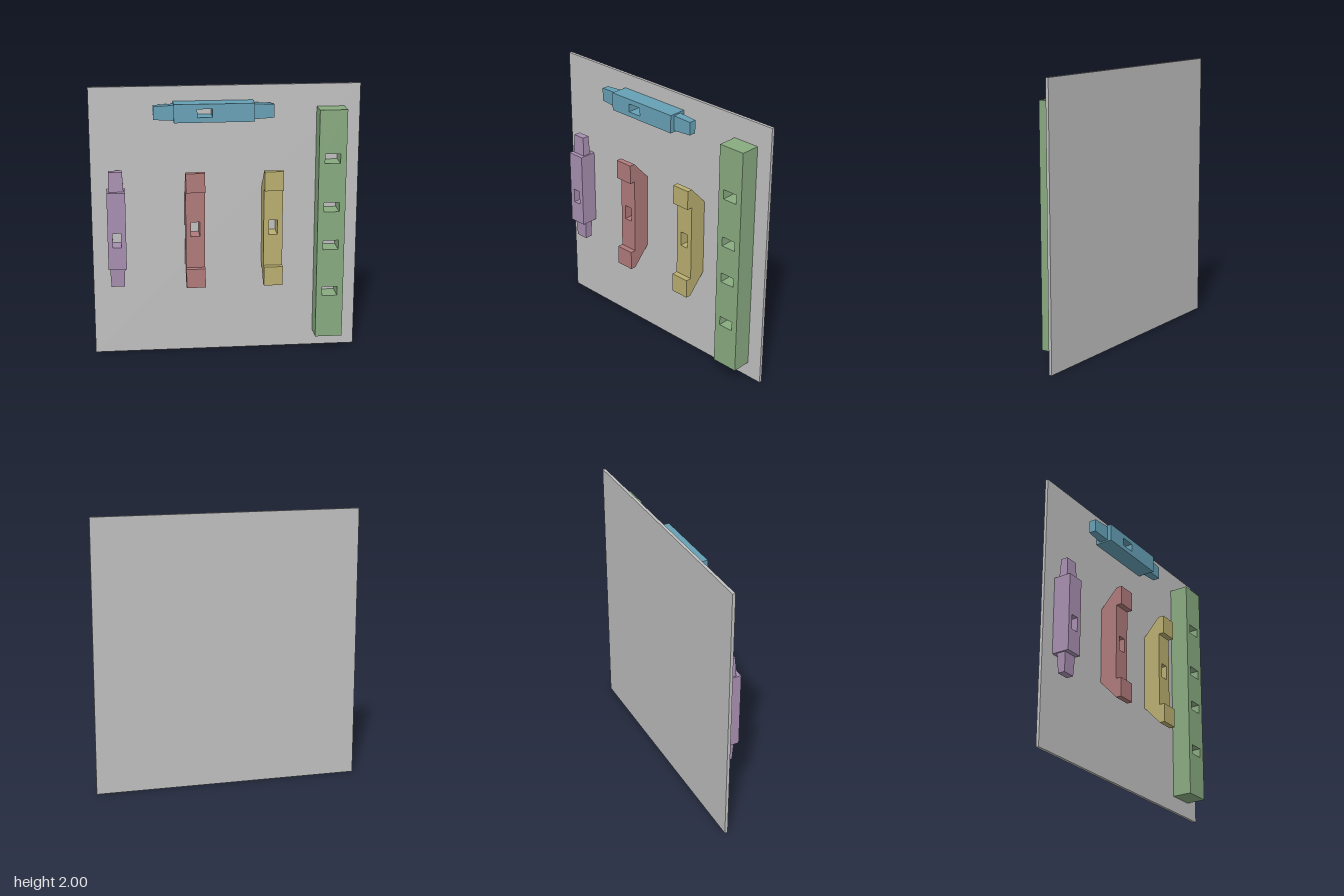
import * as THREE from 'three';

const BACK = -0.075; // front face of the panel, which all blocks rest on

const paint = (name, color) => {
  const m = new THREE.MeshStandardMaterial({ color });
  m.name = name;
  return m;
};

function add(parent, name, geometry, material) {
  const mesh = new THREE.Mesh(geometry, material);
  mesh.name = name;
  parent.add(mesh);
  return mesh;
}

// Upright block centred on x and y, with rectangular holes [x, y, w, h] through to the panel
function drilledBlock(w, h, depth, holes) {
  const rect = (T, x, y, rw, rh) => new T([
    new THREE.Vector2(x - rw / 2, y - rh / 2), new THREE.Vector2(x + rw / 2, y - rh / 2),
    new THREE.Vector2(x + rw / 2, y + rh / 2), new THREE.Vector2(x - rw / 2, y + rh / 2),
  ]);
  const shape = rect(THREE.Shape, 0, 0, w, h);
  shape.holes = holes.map((q) => rect(THREE.Path, ...q));
  return new THREE.ExtrudeGeometry(shape, { depth, bevelEnabled: false }).translate(0, 0, BACK);
}

// Box narrowing towards its +y end
function tenonGeometry() {
  const g = new THREE.BoxGeometry(0.11, 0.143, 0.066);
  const p = g.attributes.position;
  for (let i = 0; i < p.count; i++) {
    if (p.getY(i) > 0) p.setXYZ(i, p.getX(i) * 0.87, p.getY(i), p.getZ(i) * 0.8);
  }
  g.computeVertexNormals();
  return g;
}

// Rail with a tapered tenon at each end
function tenonRail(name, material) {
  const rail = new THREE.Group();
  rail.name = name;
  add(rail, 'railBody', drilledBlock(0.132, 0.572, 0.13, [[0, -0.067, 0.06, 0.108]]), material);
  for (const s of [1, -1]) {
    const tenon = add(rail, s > 0 ? 'upperTenon' : 'lowerTenon', tenonGeometry(), material);
    tenon.position.set(0, s * 0.3575, -0.01);
    if (s < 0) tenon.rotation.z = Math.PI;
  }
  return rail;
}

// Bracket whose ends step forward and slope back to the panel
function bracket(name, material) {
  const group = new THREE.Group();
  group.name = name;
  const w = 0.138;
  add(group, 'bracketBody', drilledBlock(w, 0.572, 0.13, [[0, 0.003, 0.063, 0.108]]), material);
  // side profile as (-z, y), turned to run along x
  const profile = new THREE.Shape([
    [-0.097, 0.286], [0.075, 0.286], [-0.055, 0.428], [-0.097, 0.428],
  ].map(([a, b]) => new THREE.Vector2(a, b)));
  for (const s of [1, -1]) {
    const g = new THREE.ExtrudeGeometry(profile, { depth: w, bevelEnabled: false });
    g.translate(0, 0, -w / 2).rotateY(Math.PI / 2);
    // turn the lower end over, then face it forward again
    if (s < 0) g.rotateX(Math.PI).rotateY(Math.PI);
    add(group, s > 0 ? 'upperEnd' : 'lowerEnd', g, material);
  }
  return group;
}

export function createModel() {
  const model = new THREE.Group();
  model.name = 'jointDisplay';
  const grey = paint('panelGrey', 0xc0c0c0);
  const purple = paint('mutedPurple', 0xa78fb0);
  const red = paint('mutedRed', 0xb07a7a);
  const yellow = paint('mutedYellow', 0xb9ae70);
  const green = paint('mutedGreen', 0x88aa80);
  const blue = paint('mutedBlue', 0x66a0b5);

  // Back panel
  add(model, 'backPanel', new THREE.BoxGeometry(1.945, 2, 0.022), grey).position.set(0, 1, -0.086);

  // Tall post with four mortises
  const mortises = [1.48, 1.12, 0.833, 0.476].map((y) => [0, y - 0.977, 0.112, 0.07]);
  add(model, 'mortisedPost', drilledBlock(0.2, 1.716, 0.144, mortises), green).position.set(0.758, 0.977, 0);

  // Upright rail and the same rail lying on its side
  const upright = tenonRail('uprightRail', purple);
  upright.position.set(-0.795, 0.975, 0);
  const lying = tenonRail('lyingRail', blue);
  lying.position.set(-0.09, 1.825, 0);
  lying.rotation.z = -Math.PI / 2;
  model.add(upright, lying);

  // Pair of brackets
  const left = bracket('redBracket', red);
  left.position.set(-0.23, 0.974, 0);
  const right = bracket('yellowBracket', yellow);
  right.position.set(0.334, 0.974, 0);
  model.add(left, right);

  return model;
}
